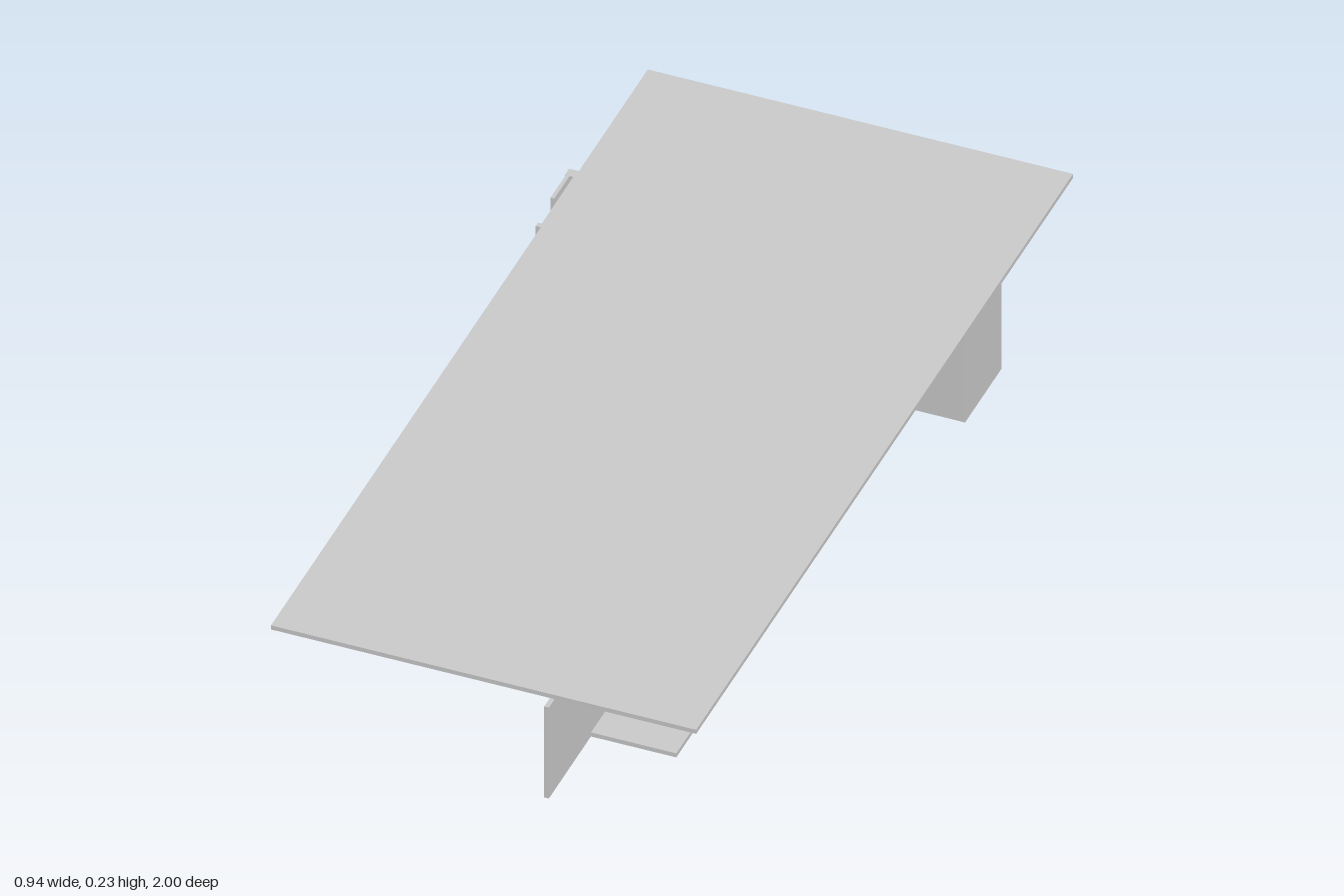
import * as THREE from 'three';

const grey = new THREE.MeshStandardMaterial({ color: 0xcccccc, flatShading: true, side: THREE.DoubleSide });
const dark = new THREE.MeshStandardMaterial({ color: 0x858585, flatShading: true, side: THREE.DoubleSide });

export function createModel() {
  const house = new THREE.Group();
  house.name = 'flatRoofHouse';
  const H = 0.225, T = 0.01, SLAB = 0.01;

  // Box given by its limits on each axis
  function block(name, x0, x1, z0, z1, y0 = 0, y1 = H, material = grey) {
    const mesh = new THREE.Mesh(new THREE.BoxGeometry(x1 - x0, y1 - y0, z1 - z0), material);
    mesh.position.set((x0 + x1) / 2, (y0 + y1) / 2, (z0 + z1) / 2);
    mesh.name = name;
    house.add(mesh);
  }

  // Roof plate
  block('roof', -0.44, 0.467, -1, 0.97, H, 0.235);

  // Floor slab following the plan of the rooms and porch
  const plan = [
    [-0.44, -0.993], [0.005, -0.993], [0.005, -0.64], [0.46, -0.64], [0.46, -0.453], [0.347, -0.453],
    [0.347, 0.78], [0.147, 0.78], [0.147, -0.13], [-0.21, -0.13], [-0.21, -0.453],
    [-0.469, -0.453], [-0.469, -0.64], [-0.44, -0.64],
  ];
  const shape = new THREE.Shape(plan.map(([x, z]) => new THREE.Vector2(x, -z)));
  const slab = new THREE.Mesh(
    new THREE.ExtrudeGeometry(shape, { depth: SLAB, bevelEnabled: false }), grey);
  slab.rotation.x = -Math.PI / 2;
  slab.name = 'floorSlab';
  house.add(slab);

  // Walls: name, x range, z range
  const walls = [
    ['backWall', -0.44, 0.005, -0.995, -0.995 + T],
    ['rearSideWall', -0.44, -0.44 + T, -0.995, -0.64],
    ['rearInnerWall', 0.005 - T, 0.005, -0.995, -0.64],
    ['wingBackWall', 0, 0.46, -0.642, -0.632],
    ['wingEndWall', 0.45, 0.46, -0.642, -0.453],
    ['wingFrontWall', 0.345, 0.46, -0.463, -0.453],
    ['rightFrontWall', -0.45, -0.21, -0.463, -0.453],
    ['middleSideWall', -0.21, -0.2, -0.463, -0.13],
    ['middleFrontWall', -0.21, 0.165, -0.14, -0.13],
    ['longPorchWall', 0.155, 0.165, -0.14, 1],
    ['roomDivider', -0.17, 0.12, -0.47, -0.46],
  ];
  for (const wall of walls) block(...wall);

  // Glazed long side: panels parted by narrow gaps with mullions behind
  const joints = [-0.453, -0.205, 0.17, 0.38, 0.652];
  for (let i = 0; i < joints.length - 1; i++) {
    block('windowPanel', 0.336, 0.345, joints[i] + 0.003, joints[i + 1] - 0.003, SLAB);
    block('mullion', 0.334, 0.342, joints[i + 1] - 0.008, joints[i + 1], SLAB);
  }

  // Overlapping sliding panels on the outside
  for (const z of [-0.32, 0.055]) block('slidingPanel', 0.345, 0.354, z, z + 0.11, SLAB);

  // Dark partition inside the open porch end
  block('porchPartition', 0.202, 0.315, 0.372, 0.38, SLAB, 0.2345, dark);

  // Side bay: recessed glass between projecting posts
  block('bayGlass', -0.448, -0.442, -0.64, -0.455, SLAB);
  block('bayRearPost', -0.466, -0.44, -0.652, -0.63, 0);
  block('bayFrontPost', -0.456, -0.44, -0.465, -0.453, SLAB);
  block('baySlidingPanel', -0.464, -0.456, -0.63, -0.55, SLAB);

  return house;
}
